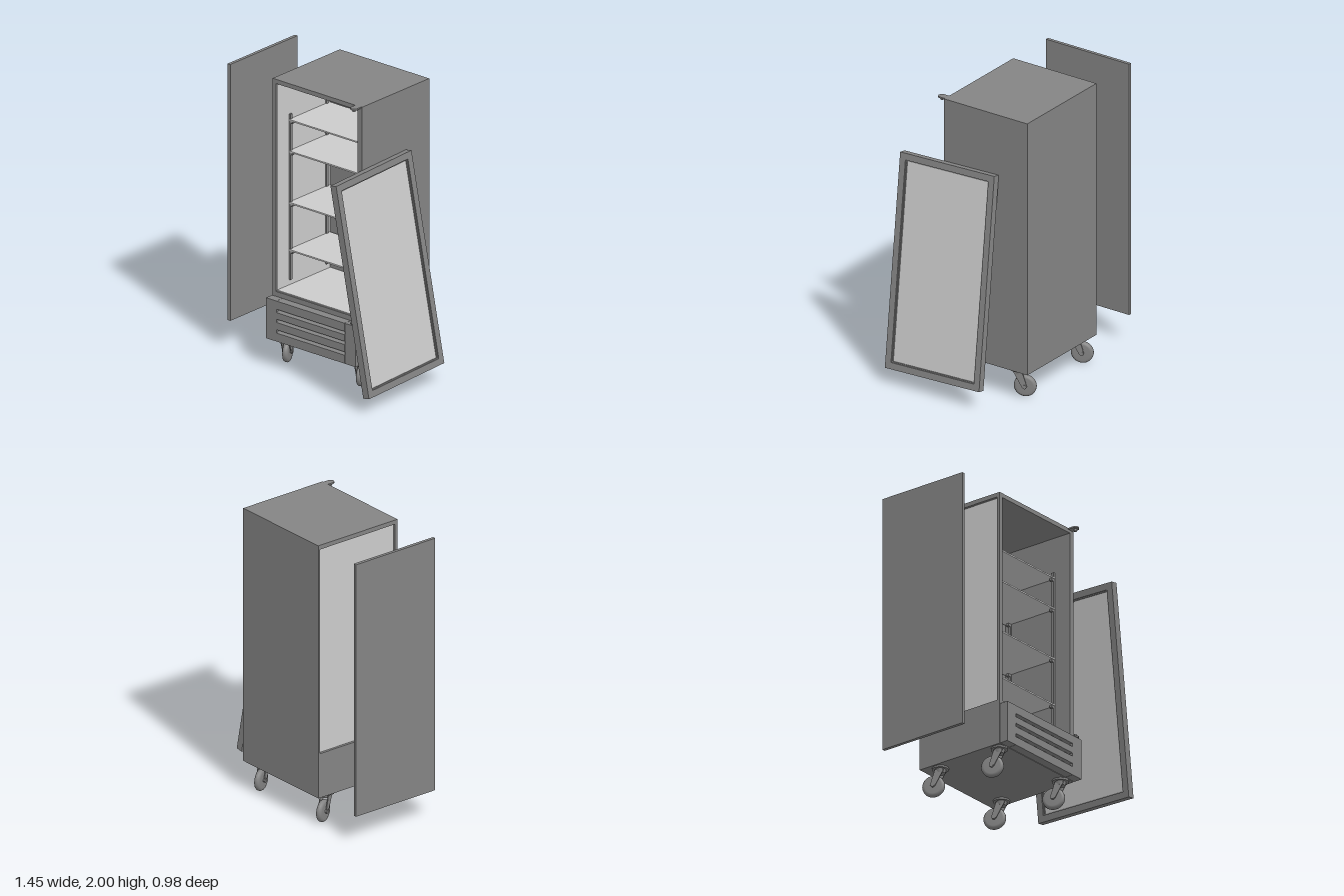
import * as THREE from 'three';

const mat = (color) => new THREE.MeshStandardMaterial({ color, side: THREE.DoubleSide });
const bodyMat = mat(0x848484);
const lightMat = mat(0xcccccc);

function add(parent, name, geometry, material = bodyMat) {
  const mesh = new THREE.Mesh(geometry, material);
  mesh.name = name;
  parent.add(mesh);
  return mesh;
}

// Box given by its minimum and maximum on each axis
function block(parent, name, [x0, x1], [y0, y1], [z0, z1], material) {
  const mesh = add(parent, name, new THREE.BoxGeometry(x1 - x0, y1 - y0, z1 - z0), material);
  mesh.position.set((x0 + x1) / 2, (y0 + y1) / 2, (z0 + z1) / 2);
  return mesh;
}

function group(parent, name) {
  const g = new THREE.Group();
  g.name = name;
  parent.add(g);
  return g;
}

// Extrude a (z, y) profile along x
function extrudeX(parent, name, points, x0, x1) {
  const shape = new THREE.Shape(points.map(([z, y]) => new THREE.Vector2(-z, y)));
  const mesh = add(parent, name, new THREE.ExtrudeGeometry(shape, { depth: x1 - x0, bevelEnabled: false }));
  mesh.rotation.y = Math.PI / 2;
  mesh.position.x = x0;
  return mesh;
}

function buildCabinet(root) {
  const g = group(root, 'cabinet');
  block(g, 'roof', [-0.34, 0.43], [1.97, 2], [-0.49, 0.175]);
  block(g, 'base', [-0.34, 0.43], [0.2, 0.515], [-0.49, 0.175]);
  block(g, 'leftWall', [0.39, 0.43], [0.515, 1.97], [-0.49, 0.175]);
  block(g, 'backPanel', [-0.34, 0.39], [0.515, 1.97], [-0.49, -0.475]);
  block(g, 'backInsulation', [-0.31, 0.39], [0.515, 1.97], [-0.475, -0.36]);
  // Uncovered side: recessed liner behind a narrow front post
  block(g, 'rightLiner', [-0.322, -0.31], [0.515, 1.97], [-0.475, 0.155], lightMat);
  block(g, 'frontPost', [-0.34, -0.31], [0.515, 1.97], [0.155, 0.175]);
  block(g, 'cabinetFloor', [-0.31, 0.39], [0.515, 0.522], [-0.36, 0.165], lightMat);

  // Shelves, their rails and corner clips
  for (const x of [-0.303, 0.383]) {
    for (const z of [0.04, -0.32]) {
      block(g, 'shelfRail', [x - 0.006, x + 0.006], [0.56, 1.72], [z - 0.01, z + 0.01]);
    }
  }
  for (const y of [1.68, 1.46, 1.1, 0.77]) {
    block(g, 'shelf', [-0.305, 0.385], [y - 0.005, y + 0.005], [-0.35, 0.055], lightMat);
    for (const x of [-0.29, 0.37]) {
      for (const z of [0.04, -0.32]) {
        block(g, 'shelfClip', [x - 0.012, x + 0.012], [y - 0.022, y - 0.005], [z - 0.01, z + 0.01]);
      }
    }
  }
}

function buildGrille(root) {
  const g = group(root, 'grille');
  block(g, 'grillePost', [-0.34, -0.252], [0.2, 0.483], [0.18, 0.24]);
  block(g, 'grillePost', [0.338, 0.43], [0.2, 0.483], [0.18, 0.24]);
  // Louvred centre panel with three slanted slots
  const profile = [[0.18, 0.2], [0.24, 0.2]];
  for (const y of [0.274, 0.348, 0.417]) {
    profile.push([0.24, y - 0.015], [0.21, y - 0.002], [0.21, y + 0.008], [0.24, y + 0.008]);
  }
  profile.push([0.24, 0.483], [0.18, 0.483]);
  extrudeX(g, 'louvrePanel', profile, -0.25, 0.336);
}

// Rounded hinge plate with a pin pointing into the door space
function buildHinge(root, y, pinSide) {
  const g = group(root, 'doorHinge');
  const s = new THREE.Shape();
  s.moveTo(-0.025, 0);
  s.lineTo(0.025, 0);
  s.lineTo(0.025, 0.04);
  s.absarc(0, 0.04, 0.025, 0, Math.PI, false);
  const plate = add(g, 'hingePlate', new THREE.ExtrudeGeometry(s, { depth: 0.01, bevelEnabled: false, curveSegments: 10 }));
  plate.rotation.x = Math.PI / 2;
  plate.position.y = 0.005;
  const pin = add(g, 'hingePin', new THREE.CylinderGeometry(0.01, 0.01, 0.02, 16));
  pin.position.set(0, pinSide * 0.012, 0.04);
  block(g, 'hingeFlange', [-0.025, 0.025], pinSide > 0 ? [-0.015, 0.005] : [-0.005, 0.005], [0, 0.008]);
  g.position.set(0.397, y, 0.175);
}

// Glazed door leaning against the cabinet
function buildDoor(root) {
  const g = group(root, 'leaningDoor');
  const H = 1.462, W = 0.75;
  const frame = (name, h, w, border, depth) => {
    const rect = (P, a, b) => new P([[-a, -b], [a, -b], [a, b], [-a, b]].map((p) => new THREE.Vector2(p[0] / 2, p[1] / 2)));
    const s = rect(THREE.Shape, w, h);
    s.holes.push(rect(THREE.Path, w - 2 * border, h - 2 * border));
    const geo = new THREE.ExtrudeGeometry(s, { depth, bevelEnabled: false });
    geo.translate(0, 0, -depth / 2);
    geo.rotateY(Math.PI / 2);
    add(g, name, geo);
  };
  frame('doorFrame', H, W, 0.045, 0.05);
  frame('glassRim', H - 0.09, W - 0.09, 0.008, 0.034);
  add(g, 'doorGlass', new THREE.BoxGeometry(0.02, H - 0.1, W - 0.1), lightMat);
  g.rotation.set(0.034, 0, 0.165, 'ZYX');
  g.position.set(0.574, 0.842, 0.09);
}

// Swivel caster: plate, forked arms, rounded tyre
function buildCaster(root, x, z) {
  const g = group(root, 'caster');
  const cyl = (name, r0, r1, h, y) => {
    add(g, name, new THREE.CylinderGeometry(r0, r1, h, 24)).position.y = y;
  };
  cyl('casterPlate', 0.055, 0.055, 0.012, 0.194);
  cyl('swivelHead', 0.038, 0.032, 0.028, 0.175);
  for (const side of [-1, 1]) {
    const cx = side * 0.028;
    extrudeX(g, 'forkArm', [[0.03, 0.18], [-0.03, 0.18], [-0.062, 0.075], [-0.045, 0.06], [-0.028, 0.07]], cx - 0.003, cx + 0.003);
  }
  const tyre = [[0.012, -0.02], [0.055, -0.02], [0.068, -0.017], [0.075, -0.007],
    [0.075, 0.007], [0.068, 0.017], [0.055, 0.02], [0.012, 0.02]].map((p) => new THREE.Vector2(...p));
  const wheel = add(g, 'wheel', new THREE.LatheGeometry(tyre, 32));
  const axle = add(g, 'axle', new THREE.CylinderGeometry(0.014, 0.014, 0.07, 16));
  for (const m of [wheel, axle]) {
    m.rotation.z = Math.PI / 2;
    m.position.set(0, 0.075, -0.045);
  }
  g.position.set(x, 0, z);
  g.rotation.y = 0.42;
}

export function createModel() {
  const root = new THREE.Group();
  root.name = 'displayFridge';
  buildCabinet(root);
  buildGrille(root);
  buildHinge(root, 1.995, -1);
  buildHinge(root, 0.495, 1);
  block(root, 'detachedSidePanel', [-0.727, -0.704], [0.205, 2], [-0.49, 0.175]);
  buildDoor(root);
  for (const x of [-0.275, 0.36]) for (const z of [0.12, -0.37]) buildCaster(root, x, z);
  return root;
}
